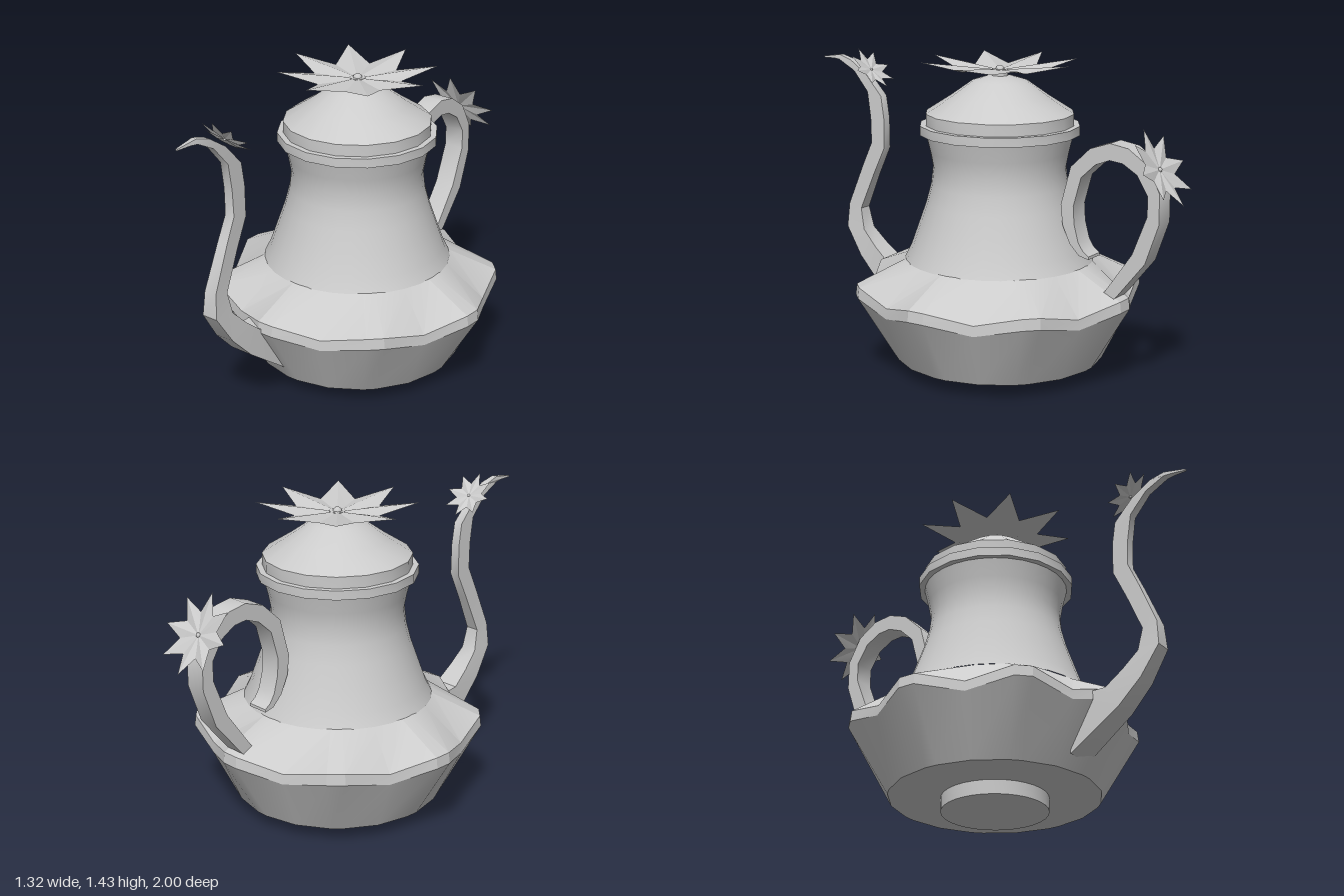
import * as THREE from 'three';
import { toCreasedNormals } from 'three/addons/utils/BufferGeometryUtils.js';

const CZ = -0.073; // axis of the pot
const material = new THREE.MeshStandardMaterial({ color: 0xcccccc });
const thin = new THREE.MeshStandardMaterial({ color: 0xcccccc, side: THREE.DoubleSide });

function mesh(name, geometry, mat = material, crease = 0.5) {
  const m = new THREE.Mesh(toCreasedNormals(geometry, crease), mat);
  m.name = name;
  return m;
}

function turned(name, profile, segments = 16) {
  const m = mesh(name, new THREE.LatheGeometry(profile.map(p => new THREE.Vector2(...p)), segments));
  m.position.z = CZ;
  return m;
}

// Skin equal-sized closed rings, counter-clockwise from outside, with optional end caps
function loft(rings, caps) {
  const n = rings[0].length, index = [];
  for (let i = 0; i < rings.length - 1; i++) {
    for (let j = 0; j < n; j++) {
      const a = i * n + j, b = i * n + (j + 1) % n;
      index.push(a, b, b + n, a, b + n, a + n);
    }
  }
  if (caps) {
    const last = (rings.length - 1) * n;
    for (let j = 1; j < n - 1; j++) {
      index.push(0, j + 1, j, last, last + j, last + j + 1);
    }
  }
  const g = new THREE.BufferGeometry();
  g.setAttribute('position', new THREE.Float32BufferAttribute(rings.flat(2), 3));
  g.setIndex(index);
  return g;
}

// Square-edged curved bar: each section is [z, y, z, y, half width]
function bar(name, sections, x) {
  const rings = sections.map(([z1, y1, z2, y2, w]) =>
    [[x - w, y1, z1], [x + w, y1, z1], [x + w, y2, z2], [x - w, y2, z2]]);
  return mesh(name, loft(rings, true), material, 0.6);
}

// Eight-cornered bowl: each corner is clipped to two points, with a dip between corners
function bowlRing(cornerR, dipR, cornerY, dipY) {
  const ring = [];
  for (let i = 0; i < 8; i++) {
    for (const [offset, r, y] of [[-0.06, cornerR, cornerY], [0.06, cornerR, cornerY], [Math.PI / 8, dipR, dipY]]) {
      const a = i * Math.PI / 4 + offset;
      ring.push([r * Math.sin(a), y, r * Math.cos(a)]);
    }
  }
  return ring;
}

// Star flower with eight pleated petals, opening along +y
function flower(name, R) {
  const pos = [0, 0, 0], index = [];
  for (let i = 0; i < 16; i++) {
    const a = i * Math.PI / 8, tip = i % 2 === 0;
    for (const [r, y] of [[0.3, tip ? 0.035 : 0], [tip ? 1 : 0.56, tip ? 0.115 : 0.01]]) {
      pos.push(R * r * Math.sin(a), R * y, R * r * Math.cos(a));
    }
    const p = 1 + 2 * i, q = 1 + 2 * ((i + 1) % 16);
    index.push(0, p, q, p, p + 1, q + 1, p, q + 1, q);
  }
  const g = new THREE.BufferGeometry();
  g.setAttribute('position', new THREE.Float32BufferAttribute(pos, 3));
  g.setIndex(index);
  const group = new THREE.Group();
  group.name = name;
  const bead = new THREE.Mesh(new THREE.SphereGeometry(R * 0.06, 10, 6), material);
  bead.name = name + 'Centre';
  const petals = mesh(name + 'Petals', g, thin, 0.1);
  group.add(petals, bead);
  return group;
}

export function createModel() {
  const model = new THREE.Group();
  model.name = 'teapot';

  // Foot and bowl with its wavy rim
  model.add(turned('foot', [[0, 0], [0.242, 0], [0.242, 0.07]], 32));
  const bowl = mesh('bowl', loft([
    bowlRing(0.478, 0.478, 0.065, 0.065),
    bowlRing(0.662, 0.607, 0.37, 0.325),
    bowlRing(0.656, 0.603, 0.42, 0.372),
    bowlRing(0.435, 0.425, 0.528, 0.528),
  ], true), material, 0.4);
  bowl.position.z = CZ;
  model.add(bowl);

  // Neck, collar and lid
  model.add(turned('neck', [[0.432, 0.526], [0.403, 0.585], [0.368, 0.685], [0.333, 0.785],
    [0.311, 0.87], [0.302, 0.95], [0.315, 1.02], [0.337, 1.11]], 32));
  model.add(turned('collar', [[0.3, 1.1], [0.364, 1.1], [0.364, 1.142], [0.3, 1.142]]));
  model.add(turned('lid', [[0.337, 1.13], [0.337, 1.195], [0.225, 1.267], [0.125, 1.338], [0.06, 1.358], [0, 1.365]]));
  model.add(turned('lidStem', [[0.036, 1.35], [0.036, 1.39], [0, 1.39]], 12));
  const lidFlower = flower('lidFlower', 0.36);
  lidFlower.position.set(0, 1.386, CZ);
  model.add(lidFlower);

  // Spout, tapering from a broad root to a pointed lip
  model.add(bar('spout', [
    [0.42, 0.12, 0.42, 0.38, 0.071],
    [0.654, 0.29, 0.59, 0.39, 0.058],
    [0.76, 0.40, 0.67, 0.455, 0.05],
    [0.847, 0.535, 0.745, 0.53, 0.04],
    [0.838, 0.65, 0.767, 0.632, 0.032],
    [0.756, 0.846, 0.69, 0.81, 0.027],
    [0.702, 0.964, 0.627, 0.943, 0.025],
    [0.706, 1.087, 0.627, 1.087, 0.023],
    [0.724, 1.21, 0.643, 1.194, 0.022],
    [0.805, 1.305, 0.735, 1.295, 0.02],
    [0.895, 1.352, 0.826, 1.355, 0.018],
    [0.93, 1.355, 0.895, 1.375, 0.013],
    [1.0, 1.353, 0.998, 1.36, 0.005],
  ], -0.08));
  const spoutFlower = flower('spoutFlower', 0.12);
  spoutFlower.position.set(-0.08, 1.315, 0.715);
  spoutFlower.rotation.x = -0.785;
  model.add(spoutFlower);

  // Scrolled handle
  model.add(bar('handle', [
    [-0.53, 0.34, -0.59, 0.32, 0.05],
    [-0.654, 0.46, -0.713, 0.445, 0.05],
    [-0.783, 0.643, -0.847, 0.61, 0.05],
    [-0.853, 0.82, -0.91, 0.79, 0.05],
    [-0.853, 0.91, -0.91, 0.927, 0.05],
    [-0.8, 0.996, -0.847, 1.045, 0.05],
    [-0.73, 1.038, -0.756, 1.106, 0.05],
    [-0.665, 1.045, -0.665, 1.12, 0.05],
    [-0.595, 1.018, -0.568, 1.087, 0.05],
    [-0.525, 0.953, -0.472, 0.996, 0.05],
    [-0.488, 0.82, -0.424, 0.82, 0.05],
    [-0.493, 0.74, -0.434, 0.73, 0.05],
    [-0.515, 0.66, -0.472, 0.648, 0.05],
    [-0.54, 0.622, -0.52, 0.6, 0.05],
    [-0.568, 0.602, -0.568, 0.589, 0.05],
  ], -0.005));
  const handleFlower = flower('handleFlower', 0.185);
  handleFlower.position.set(-0.003, 1.022, -0.883);
  handleFlower.rotation.x = -1.0;
  model.add(handleFlower);

  return model;
}
